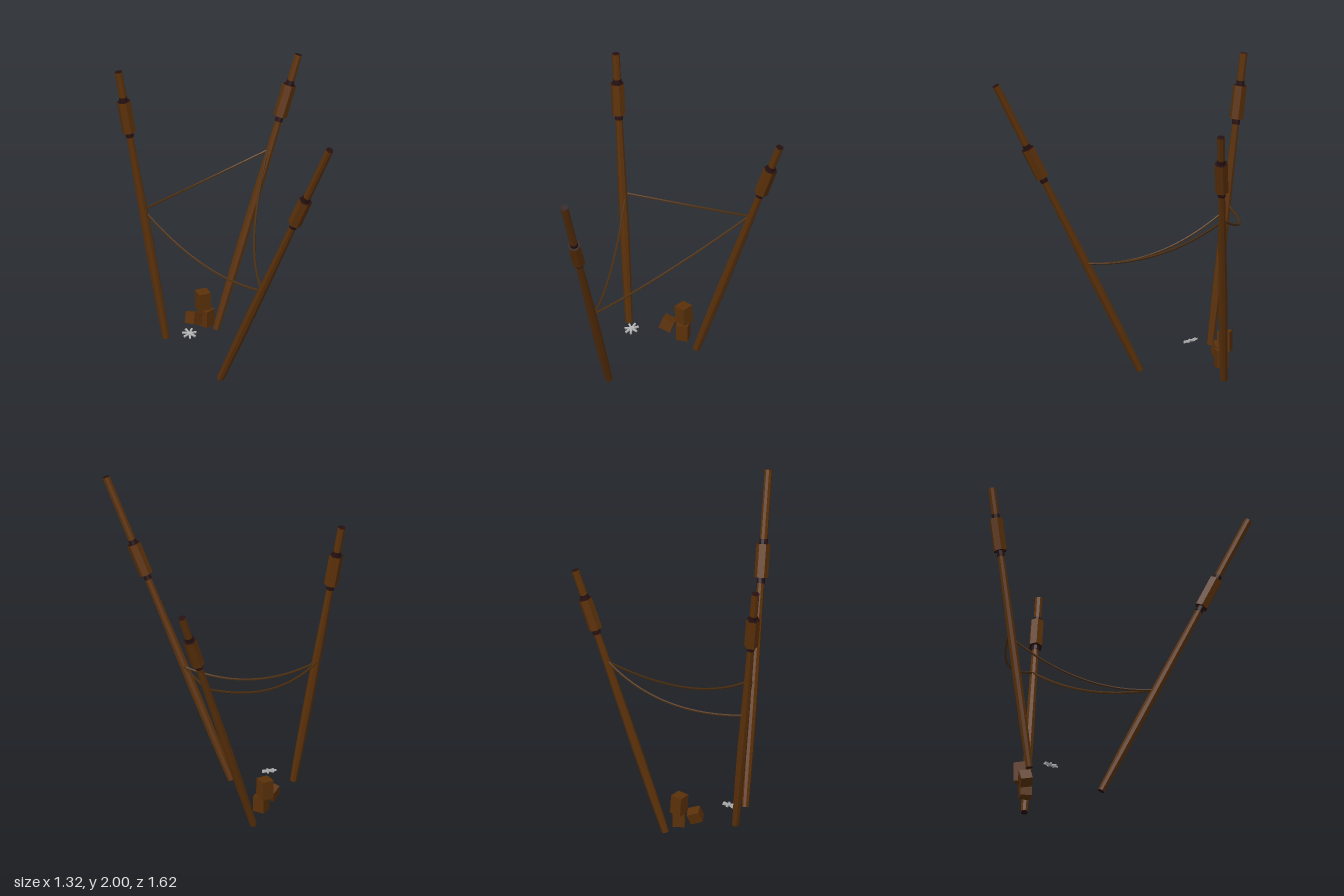
import * as THREE from 'three';

const mat = (name, color) => {
  const m = new THREE.MeshStandardMaterial({ color, flatShading: true });
  m.name = name;
  return m;
};

export function createModel() {
  const wood = mat('dark wood', 0x5a3009);
  const band = mat('dark band', 0x261011);
  const cord = mat('cord', 0x4c2e10);
  const metal = mat('grey metal', 0xb0b0b0);
  const model = new THREE.Group();
  const v = (a) => new THREE.Vector3(...a);

  const add = (parent, name, geo, material) => {
    const m = new THREE.Mesh(geo, material);
    m.name = name;
    parent.add(m);
    return m;
  };

  // Leaning pole: swelling lower shaft, faceted grip block, straight upper shaft
  function pole(name, from, to) {
    const g = new THREE.Group();
    g.name = name;
    const a = v(from), dir = v(to).sub(a), len = dir.length();
    g.position.copy(a);
    g.quaternion.setFromUnitVectors(new THREE.Vector3(0, 1, 0), dir.normalize());
    const profile = [[0.023, 0], [0.028, 0.3], [0.03, 0.6], [0.027, 1.0], [0.022, 1.46]];
    add(g, 'lowerShaft', new THREE.LatheGeometry(profile.map(([r, y]) => new THREE.Vector2(r, y)), 8), wood);
    const foot = add(g, 'footCap', new THREE.CircleGeometry(0.023, 8), band);
    foot.rotation.x = Math.PI / 2;
    // sides in one material, both ends dark
    const segment = (part, y0, y1, r, sides, material) => {
      const geo = new THREE.CylinderGeometry(r, r, y1 - y0, sides);
      add(g, part, geo, [material, band, band]).position.y = (y0 + y1) / 2;
    };
    segment('lowerBand', 1.42, 1.46, 0.026, 8, band);
    segment('gripBlock', 1.455, 1.67, 0.044, 6, wood);
    segment('upperBand', 1.66, 1.7, 0.0265, 8, band);
    segment('upperShaft', 1.66, len, 0.025, 8, wood);
    model.add(g);
  }
  pole('rightPole', [-0.37, 0.148, -0.435], [-0.638, 2.0, -0.58]);
  pole('frontPole', [-0.145, 0.012, -0.038], [0.297, 1.94, 0.785]);
  pole('leftPole', [0.034, 0.046, -0.635], [0.637, 1.815, -0.782]);

  // Sagging cords between the poles: start, control point, end
  const A = [-0.49, 1.03, -0.525], B = [0.03, 0.74, 0.26], C = [0.412, 1.2, -0.733];
  [
    ['backCord', A, [-0.04, 1.0, -0.8], C],
    ['leftCord', C, [0.085, 0.775, -0.25], B],
    ['rightCord', A, [-0.225, 0.675, -0.16], B],
  ].forEach(([name, p, q, r]) => {
    const curve = new THREE.QuadraticBezierCurve3(v(p), v(q), v(r));
    add(model, name, new THREE.TubeGeometry(curve, 24, 0.0075, 6), cord);
  });

  // Loose wooden blocks: size, position, rotation
  [
    ['upperBlock', [0.078, 0.125, 0.08], [-0.06, 0.275, -0.615], [0.03, 0.03, 0.04]],
    ['lowerBlock', [0.075, 0.11, 0.075], [-0.045, 0.165, -0.595], [0, 0.55, 0]],
    ['smallBlock', [0.08, 0.075, 0.075], [-0.142, 0.193, -0.555], [-0.2, 0.52, -0.25]],
  ].forEach(([name, size, pos, rot]) => {
    const b = add(model, name, new THREE.BoxGeometry(...size), wood);
    b.position.set(...pos);
    b.rotation.set(...rot);
  });

  // Small spiked star
  const star = new THREE.Group();
  star.name = 'spikedStar';
  add(star, 'hub', new THREE.CylinderGeometry(0.014, 0.014, 0.012, 8), metal);
  for (let i = 0; i < 7; i++) {
    const arm = new THREE.Group();
    arm.rotation.y = (i * Math.PI * 2) / 7;
    const spike = add(arm, 'spike', new THREE.BoxGeometry(0.045, 0.01, 0.012), metal);
    spike.position.x = 0.024;
    star.add(arm);
  }
  star.position.set(-0.248, 0.203, -0.338);
  star.rotation.set(0.3, 0, 0.05);
  model.add(star);

  return model;
}
